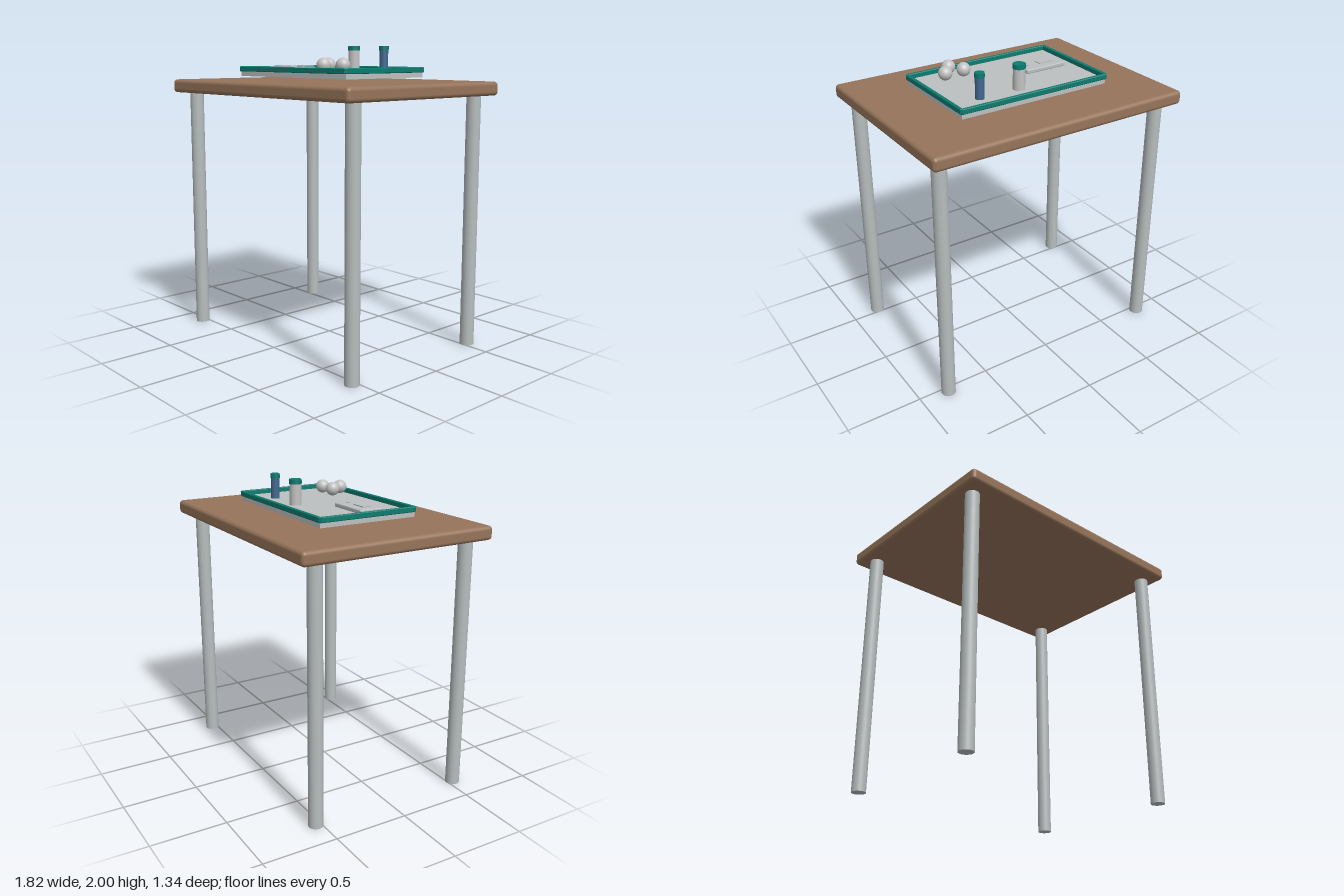
import * as THREE from 'three';
import { RoundedBoxGeometry } from 'three/addons/geometries/RoundedBoxGeometry.js';

const paint = (name, color) => {
  const m = new THREE.MeshStandardMaterial({ color });
  m.name = name;
  return m;
};

// Rectangle outline with cut corners
function cutRect(Type, hx, hz, c) {
  const p = [[-hx + c, -hz], [hx - c, -hz], [hx, -hz + c], [hx, hz - c],
    [hx - c, hz], [-hx + c, hz], [-hx, hz - c], [-hx, -hz + c]];
  return new Type(p.map(([x, y]) => new THREE.Vector2(x, y)));
}

export function createModel() {
  const wood = paint('wood', 0x96745a);
  const metal = paint('leg metal', 0xb6bcbd);
  const pale = paint('tray grey', 0xbcc0c1);
  const white = paint('ball grey', 0xc2c2c2);
  const teal = paint('teal', 0x0d7b6f);
  const blue = paint('blue', 0x41688f);

  const model = new THREE.Group();
  model.name = 'tableWithTray';
  const add = (name, geometry, material, x, y, z, parent = model) => {
    const mesh = new THREE.Mesh(geometry, material);
    mesh.name = name;
    mesh.position.set(x, y, z);
    parent.add(mesh);
    return mesh;
  };

  // Table top and four round legs
  add('tableTop', new RoundedBoxGeometry(1.815, 0.09, 1.34, 4, 0.025), wood, 0, 1.727, 0);
  const legGeometry = new THREE.CylinderGeometry(0.047, 0.047, 1.685, 32);
  for (const sx of [-1, 1])
    for (const sz of [-1, 1])
      add('leg', legGeometry, metal, sx * 0.807, 0.8425, sz * 0.537);

  // Tray: floor slab held just above the table, with a raised rim
  const tray = new THREE.Group();
  tray.name = 'tray';
  model.add(tray);
  const floorY = 1.833;
  add('trayFloor', new THREE.BoxGeometry(1.07, 0.036, 0.686), pale, 0, floorY - 0.018, 0, tray);
  const bevel = 0.004;
  const rimShape = cutRect(THREE.Shape, 0.548 - bevel, 0.355 - bevel, 0.012);
  rimShape.holes.push(cutRect(THREE.Path, 0.524 + bevel, 0.332 + bevel, 0.003));
  const rimGeometry = new THREE.ExtrudeGeometry(rimShape, {
    depth: 0.035 - 2 * bevel, bevelThickness: bevel, bevelSize: bevel, bevelSegments: 1,
  });
  rimGeometry.rotateX(-Math.PI / 2);
  add('trayRim', rimGeometry, teal, 0, 1.829 + bevel, 0, tray);

  // Two capped bottles
  const bottle = (name, x, z, r, capR, material) => {
    const group = new THREE.Group();
    group.name = name;
    model.add(group);
    const bodyH = 1.972 - floorY;
    add('body', new THREE.CylinderGeometry(r, r, bodyH, 32), material, x, floorY + bodyH / 2, z, group);
    add('cap', new THREE.CylinderGeometry(capR, capR, 0.03, 32), teal, x, 1.985, z, group);
  };
  bottle('largeBottle', 0.035, -0.195, 0.039, 0.041, white);
  bottle('smallBottle', 0.322, -0.195, 0.029, 0.032, blue);

  // Three balls
  const ballGeometry = new THREE.SphereGeometry(0.046, 32, 20);
  for (const [x, z] of [[0.208, 0.19], [0.343, 0.19], [0.266, 0.285]])
    add('ball', ballGeometry, white, x, floorY + 0.047, z);

  // Flat handheld device with a raised panel and a button
  const device = new THREE.Group();
  device.name = 'device';
  model.add(device);
  add('deviceBody', new RoundedBoxGeometry(0.306, 0.028, 0.172, 3, 0.007), pale, -0.308, floorY + 0.014, 0.072, device);
  add('devicePanel', new THREE.BoxGeometry(0.11, 0.007, 0.055), pale, -0.345, floorY + 0.031, 0.072, device);
  add('deviceButton', new THREE.CylinderGeometry(0.012, 0.012, 0.007, 20), pale, -0.205, floorY + 0.031, 0.06, device);

  return model;
}
